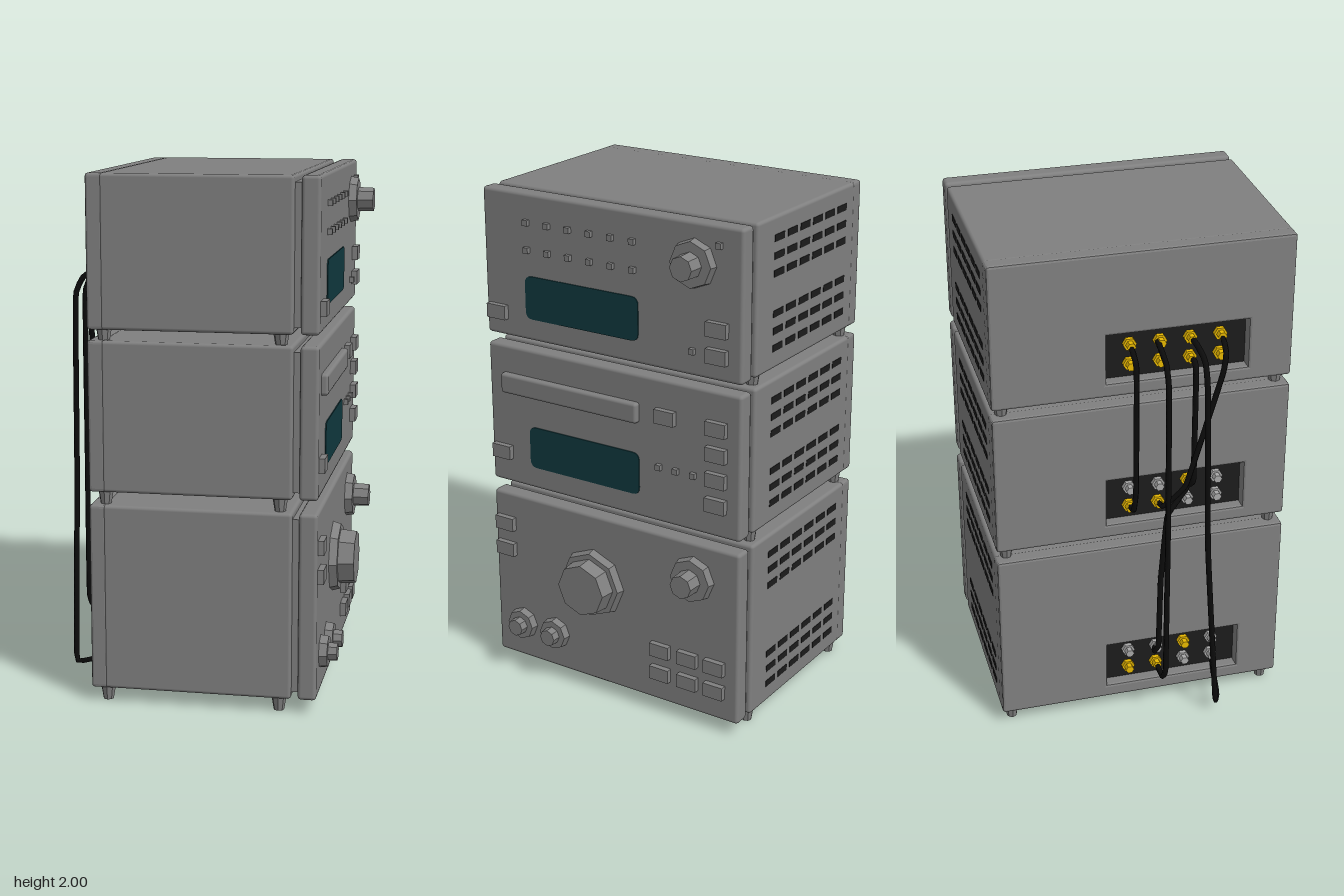
import * as THREE from 'three';
import { RoundedBoxGeometry } from 'three/addons/geometries/RoundedBoxGeometry.js';

const mat = (name, color, extra = {}) => {
  const m = new THREE.MeshStandardMaterial({ color, ...extra });
  m.name = name;
  return m;
};

export function createModel() {
  const casing = mat('casing grey', 0x808080);
  const faceted = casing;
  const glass = mat('display teal', 0x10393f);
  const dark = mat('opening black', 0x1c1c1c);
  const cableMat = mat('cable black', 0x0c0c0c);
  const yellow = mat('plug yellow', 0xf2c000);
  const silver = mat('socket silver', 0xa8a8a8);

  const root = new THREE.Group();
  root.name = 'stereoStack';
  const FACE = 0.46; // x of the control face

  const add = (parent, name, geo, material, x, y, z) => {
    const m = new THREE.Mesh(geo, material);
    m.name = name;
    m.position.set(x, y, z);
    parent.add(m);
    return m;
  };
  const box = (w, h, d) => new THREE.BoxGeometry(w, h, d);

  // Cylinder lying along x with flat sides
  const prism = (r1, r2, len, sides) => {
    const g = new THREE.CylinderGeometry(r1, r2, len, sides).toNonIndexed();
    g.rotateZ(-Math.PI / 2);
    g.computeVertexNormals();
    return g;
  };

  const roundedRect = (w, h, r) => {
    const s = new THREE.Shape(), a = w / 2, b = h / 2;
    s.moveTo(-a + r, -b);
    s.lineTo(a - r, -b).quadraticCurveTo(a, -b, a, -b + r);
    s.lineTo(a, b - r).quadraticCurveTo(a, b, a - r, b);
    s.lineTo(-a + r, b).quadraticCurveTo(-a, b, -a, b - r);
    s.lineTo(-a, -b + r).quadraticCurveTo(-a, -b, -a + r, -b);
    return s;
  };

  const button = (g, z, y, w = 0.085, h = 0.055) =>
    add(g, 'button', box(0.034, h, w), casing, FACE + 0.006, y, z);
  const stud = (g, z, y) =>
    add(g, 'smallButton', box(0.026, 0.022, 0.022), casing, FACE + 0.004, y, z);

  const knob = (g, z, y, rBase, rGrip, reach) => {
    add(g, 'knobBase', prism(rBase * 0.93, rBase, 0.034, 8), faceted, FACE + 0.014, y, z);
    add(g, 'knobGrip', prism(rGrip, rGrip * 1.08, reach, 8), faceted, FACE + reach / 2, y, z);
  };

  const display = (g, z, y) => {
    const geo = new THREE.ExtrudeGeometry(roundedRect(0.51, 0.168, 0.03), { depth: 0.004, bevelEnabled: false, curveSegments: 4 });
    geo.rotateY(Math.PI / 2);
    add(g, 'display', geo, glass, FACE, y, z);
  };

  const socketZ = [-0.045, 0.07, 0.185, 0.3];

  // Cabinet shared by all three units
  const unit = (name, y0, y1, isYellow) => {
    const g = new THREE.Group();
    g.name = name;
    root.add(g);
    const h = y1 - y0, cy = (y0 + y1) / 2;
    add(g, 'cabinet', new RoundedBoxGeometry(0.715, h, 1.14, 2, 0.013), casing, 0.0075, cy, 0);
    add(g, 'faceNeck', box(0.06, h - 0.05, 1.1), casing, 0.38, cy, 0);
    add(g, 'facePlate', new RoundedBoxGeometry(0.07, h, 1.14, 2, 0.014), casing, 0.425, cy, 0);

    // Rear panel with a window for the sockets
    const panel = roundedRect(1.14, h, 0.013);
    const b = -h / 2;
    const hole = new THREE.Path();
    hole.moveTo(-0.14, b + 0.055);
    hole.lineTo(-0.14, b + 0.25).lineTo(0.4, b + 0.25).lineTo(0.4, b + 0.055).closePath();
    panel.holes.push(hole);
    const rear = new THREE.ExtrudeGeometry(panel, {
      depth: 0.045, bevelThickness: 0.01, bevelSize: 0.01, bevelOffset: -0.01, bevelSegments: 2, curveSegments: 3,
    });
    rear.rotateY(-Math.PI / 2);
    add(g, 'rearPanel', rear, casing, -0.345, cy, 0);
    add(g, 'socketBay', box(0.004, 0.215, 0.56), dark, -0.351, y0 + 0.1525, 0.13);
    [0.11, 0.19].forEach((dy, row) => socketZ.forEach((z, col) => {
      const m = isYellow(row, col) ? yellow : silver;
      add(g, 'socket', prism(0.026, 0.026, 0.02, 6), m, -0.36, y0 + dy, z);
      add(g, 'socketTip', prism(0.017, 0.017, 0.03, 6), m, -0.38, y0 + dy, z);
    }));

    // Ventilation slots, three rows near the top and three near the bottom
    for (const off of [0.08, 0.145, 0.21])
      for (const y of [y1 - off, y0 + off])
        for (let i = 0; i < 6; i++)
          add(g, 'ventSlot', box(0.07, 0.026, 0.006), dark, 0.215 - i * 0.093, y, -0.569);

    // Tapered feet
    for (const x of [-0.345, 0.315])
      for (const z of [-0.525, 0.525]) {
        const geo = new THREE.CylinderGeometry(0.03, 0.02, 0.06, 8).toNonIndexed();
        geo.computeVertexNormals();
        add(g, 'foot', geo, faceted, x, y0 - 0.025, z);
      }
    return g;
  };

  const partYellow = (row, col) => (row === 0 ? col < 2 : col === 2);
  const top = unit('tunerUnit', 1.43, 2.0, () => true);
  const middle = unit('discUnit', 0.82, 1.39, partYellow);
  const bottom = unit('amplifierUnit', 0.055, 0.77, partYellow);

  // Top controls
  knob(top, -0.37, 1.85, 0.092, 0.046, 0.093);
  for (let i = 0; i < 6; i++) for (const y of [1.89, 1.785]) stud(top, 0.365 - i * 0.095, y);
  stud(top, -0.475, 1.93);
  stud(top, -0.365, 1.525);
  button(top, -0.47, 1.625);
  button(top, -0.47, 1.525);
  button(top, 0.51, 1.525);
  display(top, 0.125, 1.6);

  // Middle controls
  add(middle, 'discTray', new RoundedBoxGeometry(0.05, 0.08, 0.63, 2, 0.012), casing, FACE, 1.24, 0.185);
  button(middle, -0.25, 1.25);
  for (const y of [1.25, 1.15, 1.05, 0.95]) button(middle, -0.47, y);
  button(middle, 0.51, 0.95);
  for (const z of [-0.22, -0.295, -0.37]) stud(middle, z, 1.045);
  display(middle, 0.125, 0.993);

  // Bottom controls
  knob(bottom, 0.09, 0.485, 0.142, 0.105, 0.093);
  knob(bottom, -0.37, 0.625, 0.092, 0.046, 0.093);
  for (const z of [0.44, 0.28]) knob(bottom, z, 0.21, 0.065, 0.034, 0.065);
  for (const y of [0.64, 0.53]) button(bottom, 0.51, y);
  for (const z of [-0.225, -0.35, -0.47]) for (const y of [0.28, 0.18]) button(bottom, z, y);

  // Cables hanging between the sockets
  const cables = [
    [[-0.36, 1.62, 0.06], [-0.42, 1.62, 0.055], [-0.5, 1.59, 0.055], [-0.54, 1.5, 0.055], [-0.54, 0.9, 0.06],
      [-0.54, 0.26, 0.06], [-0.5, 0.19, 0.06], [-0.42, 0.16, 0.07], [-0.36, 0.165, 0.07]],
    [[-0.36, 1.62, 0.185], [-0.42, 1.62, 0.19], [-0.5, 1.59, 0.2], [-0.54, 1.5, 0.2], [-0.54, 0.8, 0.22],
      [-0.54, 0.07, 0.27], [-0.5, 0.062, 0.29], [-0.43, 0.085, 0.3], [-0.39, 0.15, 0.3], [-0.36, 0.165, 0.3]],
    [[-0.36, 1.62, -0.045], [-0.41, 1.61, -0.045], [-0.455, 1.58, -0.045], [-0.465, 1.5, -0.045],
      [-0.465, 1.05, -0.045], [-0.435, 0.95, -0.045], [-0.36, 0.93, -0.045]],
    [[-0.36, 1.62, 0.3], [-0.41, 1.61, 0.3], [-0.455, 1.58, 0.295], [-0.465, 1.5, 0.28],
      [-0.465, 1.05, 0.15], [-0.435, 0.95, 0.07], [-0.36, 0.93, 0.07]],
    [[-0.36, 1.54, 0.185], [-0.41, 1.54, 0.19], [-0.43, 1.5, 0.19], [-0.43, 1.05, 0.19], [-0.4, 1.01, 0.185], [-0.36, 1.01, 0.185]],
    [[-0.36, 1.01, 0.185], [-0.41, 1.0, 0.17], [-0.43, 0.9, 0.09], [-0.42, 0.6, 0.07],
      [-0.435, 0.3, 0.06], [-0.41, 0.25, 0.05], [-0.36, 0.245, 0.07]],
  ];
  cables.forEach((pts) => {
    const curve = new THREE.CatmullRomCurve3(pts.map((p) => new THREE.Vector3(...p)), false, 'catmullrom', 0.15);
    add(root, 'cable', new THREE.TubeGeometry(curve, 60, 0.011, 6), cableMat, 0, 0, 0);
  });

  return root;
}
